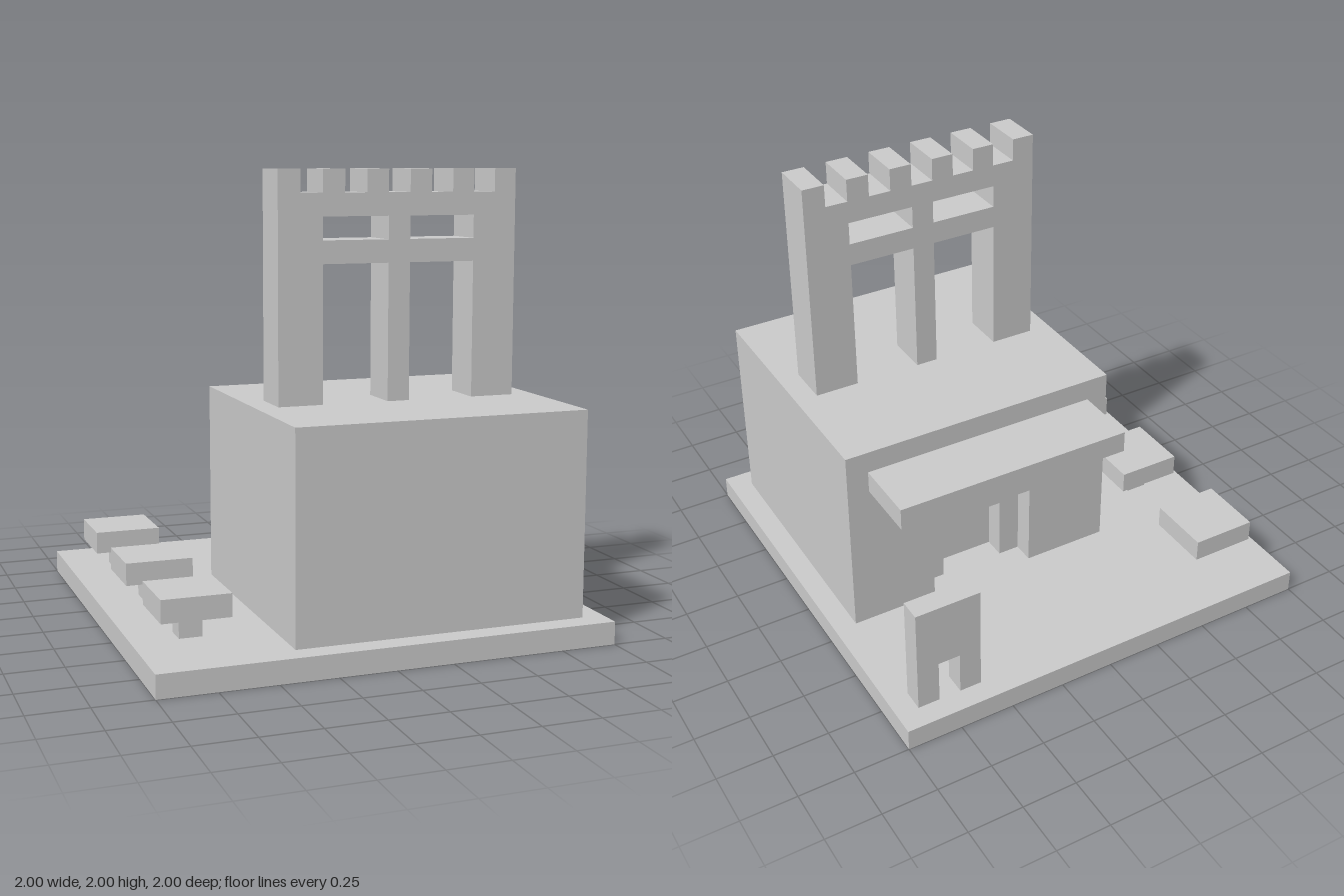
import * as THREE from 'three';

const material = new THREE.MeshStandardMaterial({ color: 0xcccccc, flatShading: true });

function add(parent, name, geometry) {
  const mesh = new THREE.Mesh(geometry, material);
  mesh.name = name;
  parent.add(mesh);
  return mesh;
}

// Box given by its minimum and maximum corners
function box(parent, name, [x0, y0, z0], [x1, y1, z1]) {
  const geometry = new THREE.BoxGeometry(x1 - x0, y1 - y0, z1 - z0);
  geometry.translate((x0 + x1) / 2, (y0 + y1) / 2, (z0 + z1) / 2);
  return add(parent, name, geometry);
}

const path = (points) => points.map(([x, y]) => new THREE.Vector2(x, y));

// Outline in x and y, extruded from z0 to z1
function slab(parent, name, points, z0, z1, holes = []) {
  const shape = new THREE.Shape(path(points));
  for (const hole of holes) shape.holes.push(new THREE.Path(path(hole)));
  const geometry = new THREE.ExtrudeGeometry(shape, { depth: z1 - z0, bevelEnabled: false });
  geometry.translate(0, 0, z0);
  return add(parent, name, geometry);
}

// Wall outline with a doorway cut up from its bottom edge
function wallWithDoor(x0, x1, y0, y1, doorX0, doorX1, doorTop) {
  return [
    [x0, y0], [doorX0, y0], [doorX0, doorTop], [doorX1, doorTop],
    [doorX1, y0], [x1, y0], [x1, y1], [x0, y1],
  ];
}

export function createModel() {
  const model = new THREE.Group();
  model.name = 'towerBuilding';

  box(model, 'groundSlab', [-1, 0, -1], [1, 0.1, 1]);

  // Main block, with a doorway stepping in twice at the back
  const building = new THREE.Group();
  building.name = 'building';
  model.add(building);
  box(building, 'mainBlock', [-0.4, 0.1, -0.1], [0.9, 1, 0.9]);
  slab(building, 'innerDoorway', wallWithDoor(-0.4, 0.9, 0.1, 1, 0.1, 0.4, 0.4), -0.2, -0.1);
  slab(building, 'outerDoorway', wallWithDoor(-0.4, 0.9, 0.1, 1, 0, 0.5, 0.5), -0.3, -0.2);
  box(building, 'awning', [-0.3, 0.8, -0.6], [0.8, 0.9, -0.3]);

  // Tower on the roof: three legs, two window openings and battlements
  const outline = [
    [-0.3, 1], [-0.1, 1], [-0.1, 1.6], [0.2, 1.6], [0.2, 1],
    [0.3, 1], [0.3, 1.6], [0.6, 1.6], [0.6, 1], [0.8, 1],
  ];
  for (let i = 0; i < 6; i++) {
    const right = 0.8 - i * 0.2;
    if (i > 0) outline.push([right, 1.9]);
    outline.push([right, 2], [right - 0.1, 2]);
    if (i < 5) outline.push([right - 0.1, 1.9]);
  }
  const windows = [[-0.1, 0.2], [0.3, 0.6]].map(([a, b]) => [[a, 1.7], [a, 1.8], [b, 1.8], [b, 1.7]]);
  slab(model, 'tower', outline, 0.2, 0.4, windows);

  // Small free-standing gate behind the building
  slab(model, 'gate', wallWithDoor(0.6, 0.9, 0.1, 0.6, 0.7, 0.8, 0.3), -0.9, -0.8);

  // Row of tables along one side
  for (const z of [-0.65, -0.05, 0.55]) {
    const table = new THREE.Group();
    table.name = 'table';
    box(table, 'tableStem', [-0.05, 0.1, -0.05], [0.05, 0.2, 0.05]);
    box(table, 'tableTop', [-0.15, 0.2, -0.15], [0.15, 0.3, 0.15]);
    table.position.set(-0.75, 0, z);
    model.add(table);
  }

  return model;
}
